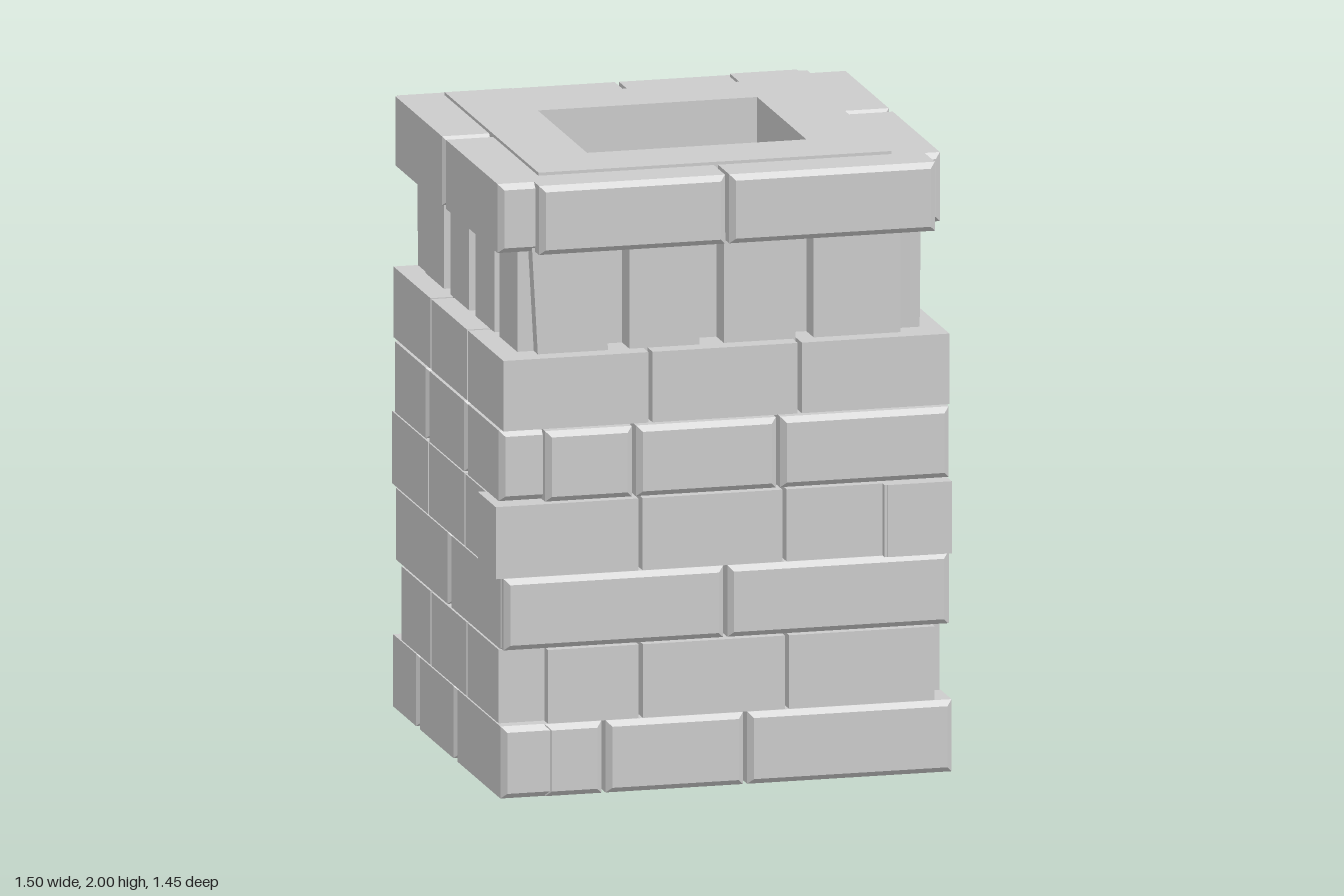
import * as THREE from 'three';

const material = new THREE.MeshStandardMaterial({ color: 0xcccccc });
const DEPTH = 0.22; // how far a brick reaches inwards
const GAP = 0.014; // joint between bricks
const CHAMFER = 0.018;

// Box between two corners, optionally with chamfered edges
function block(name, [x0, x1], [y0, y1], [z0, z1], chamfer = 0) {
  const w = x1 - x0, h = y1 - y0, d = z1 - z0;
  let geometry;
  if (chamfer) {
    const a = w / 2 - chamfer, b = h / 2 - chamfer;
    const face = new THREE.Shape([
      new THREE.Vector2(-a, -b), new THREE.Vector2(a, -b),
      new THREE.Vector2(a, b), new THREE.Vector2(-a, b),
    ]);
    geometry = new THREE.ExtrudeGeometry(face, {
      depth: d - 2 * chamfer, bevelEnabled: true, bevelSegments: 1,
      bevelSize: chamfer, bevelThickness: chamfer,
    });
    geometry.translate(0, 0, chamfer - d / 2);
  } else {
    geometry = new THREE.BoxGeometry(w, h, d);
  }
  const mesh = new THREE.Mesh(geometry, material);
  mesh.name = name;
  mesh.position.set((x0 + x1) / 2, (y0 + y1) / 2, (z0 + z1) / 2);
  return mesh;
}

// Each course lists the brick boundaries along its sides:
// front and back along x, right and left along z; out holds the outer faces
const OUT = { front: 0.705, right: 0.735, back: -0.65, left: -0.73 };
const COURSES = [
  { y: [0, 0.235], chamfer: CHAMFER, out: { right: 0.745, back: -0.655, left: -0.735 },
    front: [-0.59, -0.398, 0.067, 0.745], right: [-0.655, -0.09, 0.375, 0.565],
    back: [-0.735, -0.05, 0.4, 0.6], left: [-0.52, -0.33, 0.13, 0.7] },
  { y: [0.24, 0.48], out: { left: -0.735 },
    front: [-0.585, -0.28, 0.2, 0.685], right: [-0.61, -0.22, 0.225, 0.575],
    back: [-0.69, -0.18, 0.29, 0.6], left: [-0.53, -0.17, 0.27, 0.66] },
  { y: [0.482, 0.715], chamfer: CHAMFER, out: { right: 0.74, front: 0.7 },
    front: [-0.725, 0.003, 0.735], right: [-0.715, -0.033, 0.69],
    back: [-0.72, 0, 0.51], left: [-0.64, 0.04, 0.68] },
  { y: [0.72, 0.955], out: { back: -0.665, front: 0.7 },
    front: [-0.755, -0.28, 0.193, 0.525], right: [-0.64, -0.212, 0.258, 0.725],
    back: [-0.73, -0.19, 0.28, 0.735], left: [-0.64, -0.22, 0.23, 0.49] },
  { y: [0.96, 1.19], chamfer: CHAMFER, out: { right: 0.74 },
    front: [-0.59, -0.298, 0.175, 0.735], right: [-0.65, -0.198, 0.272, 0.565],
    back: [-0.73, -0.18, 0.28, 0.4], left: [-0.51, -0.23, 0.24, 0.66] },
  { y: [1.2, 1.43], out: { front: 0.7 },
    front: [-0.73, -0.247, 0.243, 0.735], right: [-0.69, -0.26, 0.228, 0.69],
    back: [-0.73, -0.42, 0.03, 0.51], left: [-0.64, -0.19, 0.26, 0.69] },
  { y: [1.765, 1.99], chamfer: CHAMFER, out: { right: 0.74, back: -0.655 },
    front: [-0.61, 0.008, 0.69], right: [-0.615, -0.04, 0.58],
    back: [-0.72, 0, 0.625], left: [-0.645, -0.03, 0.645] },
];

function course({ y, chamfer, out, ...sides }, index) {
  const group = new THREE.Group();
  group.name = `brickCourse${index + 1}`;
  for (const side of ['front', 'right', 'back', 'left']) {
    const outer = { ...OUT, ...out }[side];
    const across = outer > 0 ? [outer - DEPTH, outer] : [outer, outer + DEPTH];
    const cuts = sides[side];
    for (let i = 0; i < cuts.length - 1; i++) {
      const along = [
        cuts[i] + (i > 0 ? GAP / 2 : 0),
        cuts[i + 1] - (i < cuts.length - 2 ? GAP / 2 : 0),
      ];
      const alongX = side === 'front' || side === 'back';
      group.add(block(`${side}Brick`, alongX ? along : across, y, alongX ? across : along, chamfer));
    }
  }
  return group;
}

export function createModel() {
  const model = new THREE.Group();
  model.name = 'chimney';

  // Hollow core with a shallow notch along the back (shape y becomes -z)
  const outline = new THREE.Shape([
    [-0.575, -0.55], [0.585, -0.55], [0.585, 0.615], [0.365, 0.615],
    [0.365, 0.5], [-0.355, 0.5], [-0.355, 0.6], [-0.575, 0.6],
  ].map(([x, y]) => new THREE.Vector2(x, y)));
  outline.holes.push(new THREE.Path([
    [-0.355, -0.325], [-0.355, 0.28], [0.365, 0.28], [0.365, -0.325],
  ].map(([x, y]) => new THREE.Vector2(x, y))));
  const coreGeometry = new THREE.ExtrudeGeometry(outline, { depth: 2, bevelEnabled: false });
  coreGeometry.rotateX(-Math.PI / 2);
  const core = new THREE.Mesh(coreGeometry, material);
  core.name = 'flueCore';
  model.add(core);

  // Brick courses
  COURSES.forEach((data, i) => model.add(course(data, i)));

  // Bricks that stick out at the corners
  model.add(
    block('backCornerBrick', [0.4, 0.74], [0.96, 1.19], [-0.728, -0.5], CHAMFER),
    block('frontCornerBrick', [0.525, 0.735], [0.72, 0.955], [0.45, 0.727]),
  );

  // Upright bricks under the top course; the first on each side leans slightly
  const uprights = new THREE.Group();
  uprights.name = 'uprightBricks';
  const y = [1.41, 1.79];
  const add = (name, x, z, rx = 0, rz = 0) => {
    const mesh = block(name, x, y, z);
    mesh.rotation.set(rx, 0, rz);
    uprights.add(mesh);
  };
  [[-0.61, -0.38], [-0.3, -0.07], [0.01, 0.245], [0.305, 0.59]]
    .forEach((x, i) => add('frontUpright', x, [0.44, 0.64], 0, i ? 0 : 0.055));
  [[0.362, 0.59], [0.05, 0.28], [-0.255, -0.03], [-0.605, -0.335]]
    .forEach((z, i) => add('rightUpright', [0.47, 0.668], z, i ? 0 : 0.04));
  [[0.38, 0.62], [0.07, 0.3], [-0.24, -0.01], [-0.49, -0.32]]
    .forEach((x) => add('backUpright', x, [-0.62, -0.42]));
  [[-0.54, -0.31], [-0.23, 0], [0.08, 0.31], [0.37, 0.59]]
    .forEach((z) => add('leftUpright', [-0.655, -0.45], z));

  // Taller leaning brick at the back corner
  const leaning = block('leaningUpright', [-0.65, -0.5], [1.42, 1.86], [-0.655, -0.5]);
  leaning.rotation.x = -0.04;
  uprights.add(leaning);
  model.add(uprights);

  return model;
}
